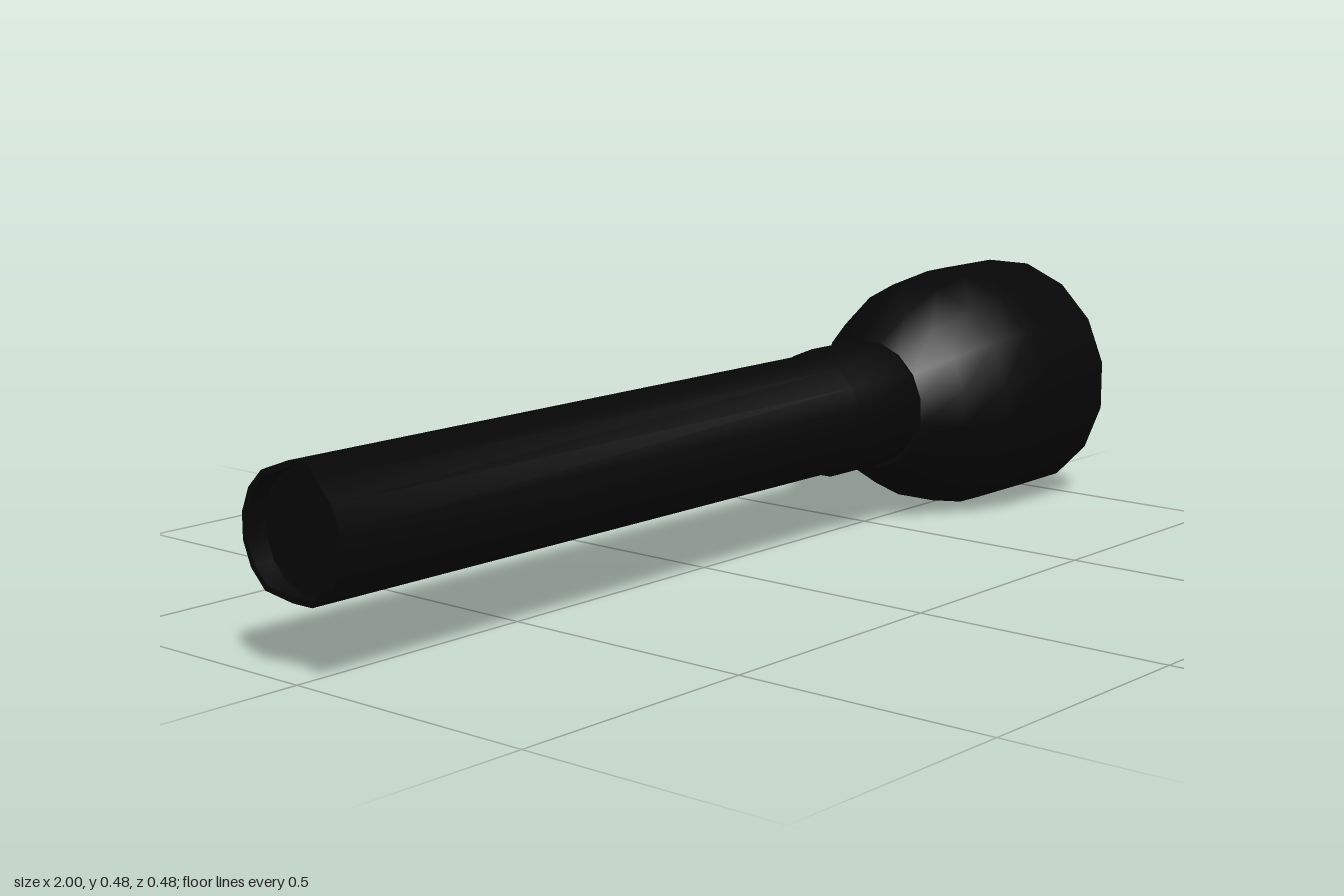
import * as THREE from 'three';
import { toCreasedNormals } from 'three/addons/utils/BufferGeometryUtils.js';

const SIDES = 16;

// Revolve [x, radius] points around the x axis, with flats facing up and sideways
function revolve(profile) {
  const points = profile.map(([x, r]) => new THREE.Vector2(r, x));
  return new THREE.LatheGeometry(points, SIDES, Math.PI / SIDES).rotateZ(-Math.PI / 2);
}

function addPart(group, name, geometry, material, y, z) {
  const mesh = new THREE.Mesh(geometry, material);
  mesh.name = name;
  mesh.position.set(0, y, z);
  group.add(mesh);
}

export function createModel() {
  const group = new THREE.Group();
  group.name = 'flashlight';
  const black = new THREE.MeshStandardMaterial({ color: 0x060606 });
  const grey = new THREE.MeshStandardMaterial({ color: 0xcccccc });

  // Handle tube: recessed tail cap, thin rim, long barrel and collar
  const handle = revolve([
    [-0.96, 0], [-0.96, 0.108], [-1, 0.108], [-1, 0.119],
    [0.33, 0.119], [0.36, 0.127], [0.53, 0.127],
  ]);
  // Shallow notches at the top and bottom of the tail rim
  const pos = handle.attributes.position;
  for (let i = 0; i < pos.count; i++) {
    if (pos.getX(i) < -0.99 && Math.abs(pos.getZ(i)) < 0.04) pos.setX(i, -0.98);
  }
  addPart(group, 'handle', toCreasedNormals(handle, 0.6), black, 0.243, -0.004);

  // Flared head with a thin front rim and a short inner wall
  const head = revolve([
    [0.51, 0.12], [0.51, 0.13], [0.585, 0.182], [0.675, 0.224], [0.77, 0.243],
    [0.83, 0.244], [1, 0.244], [1, 0.238], [0.9, 0.238],
  ]);
  addPart(group, 'head', toCreasedNormals(head, 0.6), black, 0.2395, 0);

  // Concave reflector bowl set back inside the head
  const bowl = [];
  for (let i = 0; i <= 8; i++) {
    const t = 1 - i / 8;
    bowl.push([0.7 + 0.21 * t * t, 0.238 * t]);
  }
  addPart(group, 'reflector', revolve(bowl), grey, 0.2395, 0);

  return group;
}
